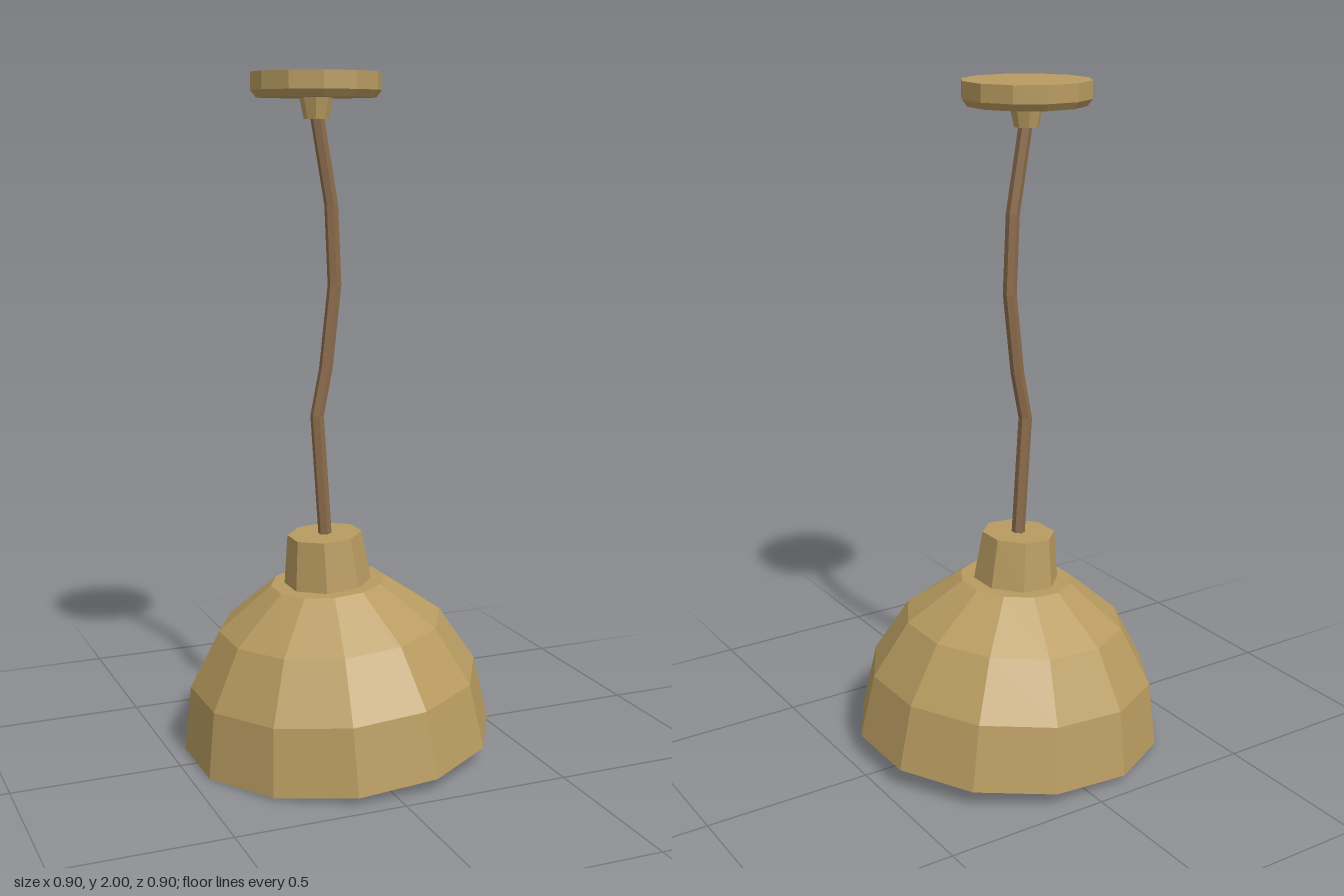
import * as THREE from 'three';

const mat = (name, color) => {
  const m = new THREE.MeshStandardMaterial({ color });
  m.name = name;
  return m;
};

// Give every face its own flat normal
function faceted(geometry) {
  const g = geometry.toNonIndexed();
  g.computeVertexNormals();
  return g;
}

// Faceted turned part; radii are measured to the middle of each flat side
function turned(name, profile, sides, material) {
  const k = 1 / Math.cos(Math.PI / sides);
  const pts = profile.map(([r, y]) => new THREE.Vector2(r * k, y));
  const mesh = new THREE.Mesh(faceted(new THREE.LatheGeometry(pts, sides, Math.PI / sides)), material);
  mesh.name = name;
  return mesh;
}

export function createModel() {
  const brass = mat('brass', 0xb89b60);
  const lining = mat('pale grey lining', 0xc8c6c4);
  const brown = mat('brown cord', 0x8c6c4c);

  const lamp = new THREE.Group();
  lamp.name = 'pendantLamp';

  // Ceiling plate with a bevelled lower edge, and the small cord grip below it
  const ceiling = new THREE.Group();
  ceiling.name = 'ceilingMount';
  ceiling.position.x = -0.065;
  ceiling.add(
    turned('ceilingPlate', [[0, 1.93], [0.165, 1.93], [0.18, 1.95], [0.18, 2], [0, 2]], 12, brass),
    turned('cordGrip', [[0, 1.87], [0.033, 1.87], [0.045, 1.935]], 8, brass)
  );
  lamp.add(ceiling);

  // Bent cord: each ring of a cylinder is moved to a point of the path
  const path = [[-0.065, 1.89], [-0.02, 1.63], [-0.01, 1.4], [-0.037, 1.16], [-0.065, 1.02], [-0.04, 0.65]];
  const rows = path.length - 1;
  const cordGeo = new THREE.CylinderGeometry(0.02, 0.02, 1, 6, rows);
  const pos = cordGeo.attributes.position;
  for (let i = 0; i < pos.count; i++) {
    const [x, y] = path[Math.round((0.5 - pos.getY(i)) * rows)];
    pos.setXYZ(i, pos.getX(i) + x, y, pos.getZ(i));
  }
  const cord = new THREE.Mesh(faceted(cordGeo), brown);
  cord.name = 'cord';
  lamp.add(cord);

  // Slightly tilted shade: outer dome, lining with rim, and neck
  const shade = new THREE.Group();
  shade.name = 'shade';
  shade.position.set(0, 0.033, 0);
  shade.rotation.z = 0.067;
  shade.add(
    turned('dome', [[0.45, 0], [0.418, 0.193], [0.323, 0.36], [0.165, 0.485], [0, 0.485]], 12, brass),
    turned('liningAndRim', [[0, 0.44], [0.14, 0.44], [0.285, 0.33], [0.37, 0.185], [0.4, 0], [0.45, 0]], 12, lining),
    turned('neck', [[0.12, 0.48], [0.102, 0.632], [0, 0.632]], 8, brass)
  );
  lamp.add(shade);

  return lamp;
}
